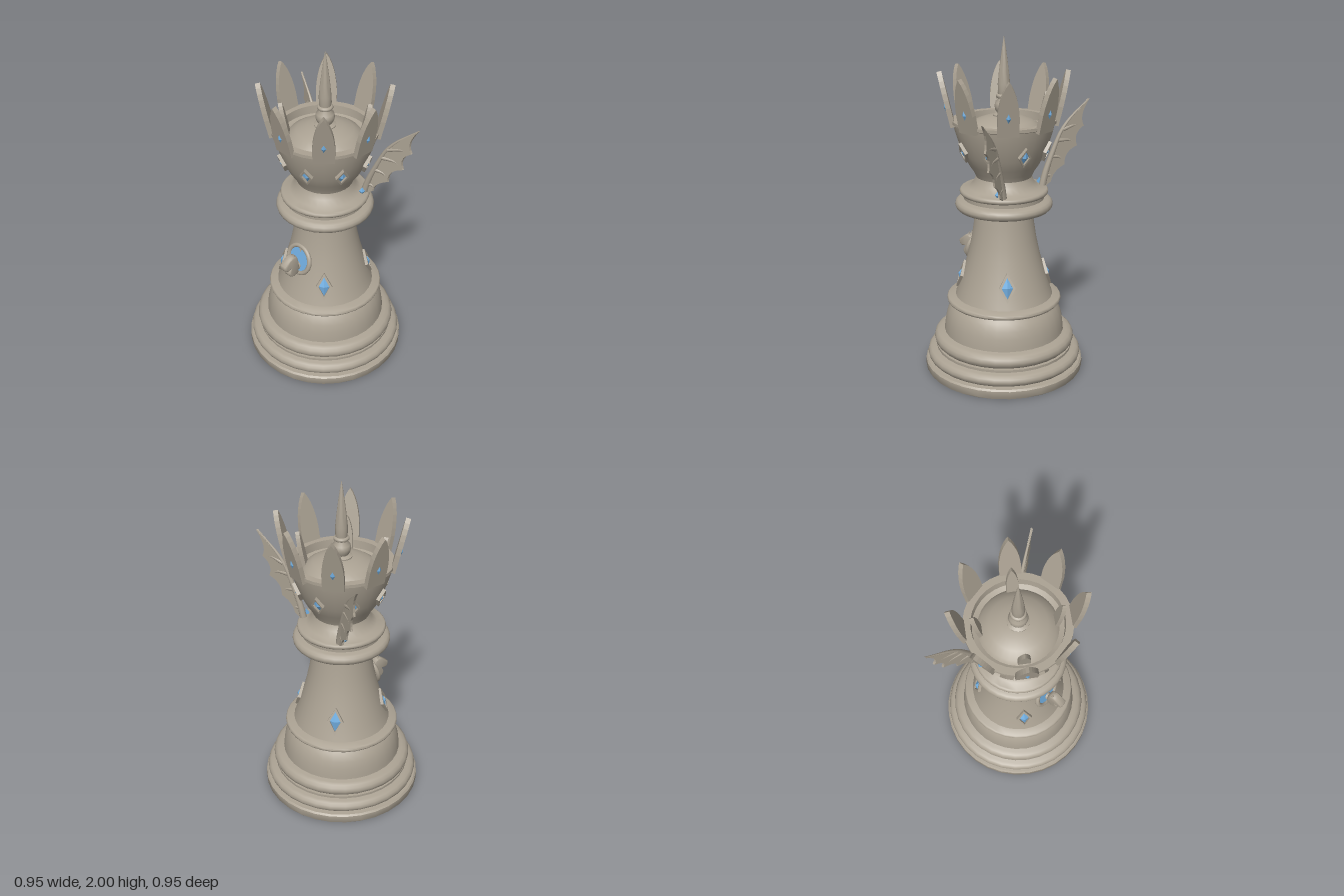
import * as THREE from 'three';
import { toCreasedNormals } from 'three/addons/utils/BufferGeometryUtils.js';

const stone = new THREE.MeshStandardMaterial({ color: 0xaba293 });
stone.name = 'warm stone';
const blue = new THREE.MeshStandardMaterial({ color: 0x72aee0 });
blue.name = 'gem blue';

const V = (x, y) => new THREE.Vector2(x, y);

function add(parent, name, geometry, material = stone) {
  const mesh = new THREE.Mesh(geometry, material);
  mesh.name = name;
  parent.add(mesh);
  return mesh;
}

// Half-round moulding for a lathe profile
function bead(r, y0, y1) {
  const b = (y1 - y0) / 2;
  return [-90, -60, -30, 0, 30, 60, 90].map((d) => {
    const a = THREE.MathUtils.degToRad(d);
    return V(r - b + b * Math.cos(a), (y0 + y1) / 2 + b * Math.sin(a));
  });
}

const lathe = (points, sides) =>
  toCreasedNormals(new THREE.LatheGeometry(points, sides), 0.7);

// Group standing on a circle around the axis, facing outward and leaning
function onRing(parent, name, angle, r, y, lean) {
  const g = new THREE.Group();
  g.name = name;
  g.rotation.order = 'YXZ';
  g.rotation.set(lean, angle, 0);
  g.position.set(Math.sin(angle) * r, y, Math.cos(angle) * r);
  parent.add(g);
  return g;
}

const diamond = (w, h) => [V(0, -h), V(w, 0), V(0, h), V(-w, 0)];

// Four-sided faceted jewel facing +z, optionally in a raised diamond frame
function addGem(parent, w, h, depth, framed, z = 0) {
  if (framed) {
    const shape = new THREE.Shape(diamond(w, h));
    shape.holes.push(new THREE.Path(diamond(w * 0.68, h * 0.72)));
    const frame = new THREE.ExtrudeGeometry(shape, { depth: 0.035, bevelEnabled: false });
    add(parent, 'gemFrame', frame).position.z = z - 0.022;
  }
  const k = framed ? 0.74 : 1;
  const gem = new THREE.ConeGeometry(1, 1, 4).toNonIndexed();
  gem.rotateX(Math.PI / 2);
  gem.scale(w * k, h * k, depth);
  gem.computeVertexNormals();
  add(parent, 'gem', gem, blue).position.z = z + depth / 2;
}

// Pointed crown leaf standing on y = 0
function leafGeometry(w, h, t) {
  const s = new THREE.Shape();
  s.moveTo(-w, 0);
  s.lineTo(w, 0);
  s.lineTo(w, h * 0.35);
  s.quadraticCurveTo(w * 0.85, h * 0.78, 0, h);
  s.quadraticCurveTo(-w * 0.85, h * 0.78, -w, h * 0.35);
  const g = new THREE.ExtrudeGeometry(s, { depth: t, bevelEnabled: false, curveSegments: 6 });
  return g.translate(0, 0, -t / 2);
}

// Tapered bone along a path
function boneGeometry(points, r0, r1) {
  const curve = new THREE.CatmullRomCurve3(points);
  const n = 16, m = 8;
  const g = new THREE.TubeGeometry(curve, n, 1, m, false);
  const p = g.attributes.position;
  for (let i = 0; i < p.count; i++) {
    const t = Math.floor(i / (m + 1)) / n;
    const c = curve.getPointAt(t);
    const v = new THREE.Vector3().fromBufferAttribute(p, i).sub(c);
    v.multiplyScalar(r0 + (r1 - r0) * t).add(c);
    p.setXYZ(i, v.x, v.y, v.z);
  }
  return g;
}

function addWing(root, side) {
  const wing = new THREE.Group();
  wing.name = side > 0 ? 'leftWing' : 'rightWing';
  root.add(wing);
  // The wing plane sweeps back as it goes outward
  const zAt = (x) => -0.08 - 0.37 * x;
  const P = (x, y, dz = 0) => new THREE.Vector3(side * x, y, zAt(x) + dz);
  const lead = [[0.17, 1.1], [0.195, 1.2], [0.245, 1.33], [0.29, 1.43], [0.34, 1.495], [0.4, 1.55], [0.465, 1.605]];
  // Membrane with scalloped trailing edge
  const cusps = [[0.432, 1.45], [0.39, 1.335], [0.31, 1.23], [0.225, 1.14]];
  const dips = [[0.395, 1.51], [0.36, 1.41], [0.305, 1.31], [0.235, 1.2]];
  const s = new THREE.Shape();
  s.moveTo(side * lead[0][0], lead[0][1]);
  lead.slice(1).forEach(([x, y]) => s.lineTo(side * x, y));
  cusps.forEach(([x, y], i) => s.quadraticCurveTo(side * dips[i][0], dips[i][1], side * x, y));
  const g = new THREE.ExtrudeGeometry(s, { depth: 0.014, bevelEnabled: false, curveSegments: 6 });
  g.translate(0, 0, -0.007);
  const p = g.attributes.position;
  for (let i = 0; i < p.count; i++) p.setZ(i, p.getZ(i) + zAt(Math.abs(p.getX(i))));
  g.computeVertexNormals();
  add(wing, 'wingMembrane', g);
  add(wing, 'wingArm', boneGeometry(lead.map(([x, y]) => P(x, y)), 0.022, 0.003));
  // Fingers from the arm to each cusp
  const starts = [[0.3, 1.44], [0.27, 1.38], [0.23, 1.29], [0.19, 1.18]];
  cusps.forEach(([x, y], i) => {
    const [a, b] = starts[i];
    const mid = P((a + x) / 2 + 0.015, (b + y) / 2 + 0.015);
    add(wing, 'wingFinger', boneGeometry([P(a, b), mid, P(x, y)], 0.014, 0.004));
  });
  // Jewel at the shoulder
  const jewel = onRing(wing, 'shoulderGem', side * 2.05, 0.215, 1.14, 0);
  jewel.position.set(side * 0.185, 1.14, -0.115);
  jewel.rotation.y = side * 0.8;
  addGem(jewel, 0.018, 0.025, 0.018, false);
}

function addMedallion(root) {
  const m = onRing(root, 'medallion', 0, 0.212, 0.715, -0.25);
  const back = new THREE.CylinderGeometry(0.088, 0.088, 0.05, 32).rotateX(Math.PI / 2);
  add(m, 'medallionBack', back).position.z = -0.025;
  add(m, 'medallionRing', new THREE.TorusGeometry(0.086, 0.014, 10, 32));
  add(m, 'medallionField', new THREE.CircleGeometry(0.076, 32), blue).position.z = 0.003;

  // Horse bust looking outward: side outline in (z, y)
  const bust = new THREE.Group();
  bust.name = 'horseBust';
  root.add(bust);
  const outline = new THREE.Shape();
  outline.moveTo(0.245, 0.645);
  outline.lineTo(0.275, 0.637);
  outline.quadraticCurveTo(0.31, 0.645, 0.302, 0.672);
  outline.lineTo(0.288, 0.7);
  outline.lineTo(0.31, 0.697);
  outline.quadraticCurveTo(0.34, 0.692, 0.335, 0.725);
  outline.lineTo(0.3, 0.752);
  outline.quadraticCurveTo(0.275, 0.775, 0.252, 0.757);
  outline.quadraticCurveTo(0.232, 0.7, 0.245, 0.645);
  const head = new THREE.ExtrudeGeometry(outline, {
    depth: 0.024, bevelThickness: 0.013, bevelSize: 0.007, bevelSegments: 3, curveSegments: 6,
  });
  head.translate(0, 0, -0.012).rotateY(-Math.PI / 2);
  add(bust, 'horseHead', toCreasedNormals(head, 0.9));
  const stub = new THREE.CylinderGeometry(0.022, 0.026, 0.06, 12).rotateX(Math.PI / 2);
  add(bust, 'neckMount', stub).position.set(0, 0.675, 0.235);
  for (const s of [-1, 1]) {
    add(bust, 'ear', new THREE.ConeGeometry(0.009, 0.032, 8)).position.set(s * 0.013, 0.778, 0.268);
  }
}

export function createModel() {
  const root = new THREE.Group();
  root.name = 'chessQueen';

  // Turned body: stepped base, waist, collar, cup and domed top
  add(root, 'body', lathe([
    V(0, 0), V(0.472, 0), V(0.477, 0.008), V(0.477, 0.048), V(0.468, 0.058), V(0.44, 0.06),
    ...bead(0.463, 0.062, 0.13), V(0.41, 0.135), V(0.41, 0.15),
    ...bead(0.422, 0.152, 0.235), V(0.36, 0.24), V(0.358, 0.262), V(0.352, 0.31),
    V(0.34, 0.355), V(0.322, 0.395), V(0.3, 0.424),
    ...bead(0.342, 0.425, 0.457), V(0.29, 0.465), V(0.267, 0.53), V(0.24, 0.62),
    V(0.212, 0.72), V(0.191, 0.82), V(0.176, 0.92), V(0.169, 0.985), V(0.235, 0.99),
    ...bead(0.285, 0.998, 1.06), V(0.235, 1.065), V(0.235, 1.088),
    ...bead(0.258, 1.09, 1.124), V(0.205, 1.13), V(0.175, 1.16), V(0.162, 1.195),
    V(0.175, 1.225), V(0.205, 1.27), V(0.235, 1.33), V(0.26, 1.4), V(0.28, 1.465),
    V(0.288, 1.505), V(0.298, 1.51), V(0.298, 1.528), V(0.255, 1.528), V(0.25, 1.48),
    V(0.222, 1.47), V(0.205, 1.493), V(0.16, 1.522), V(0.1, 1.543), V(0.05, 1.55), V(0, 1.552),
  ], 32));

  // Finial: collar, ball, ring and spike
  add(root, 'finial', lathe([
    V(0.06, 1.53), V(0.062, 1.555), V(0.04, 1.565), V(0.05, 1.583), V(0.054, 1.603),
    V(0.05, 1.623), V(0.034, 1.643), ...bead(0.045, 1.648, 1.672), V(0.034, 1.68),
    V(0.035, 1.73), V(0.028, 1.8), V(0.018, 1.88), V(0.008, 1.95), V(0, 2),
  ], 20));

  for (let i = 0; i < 8; i++) {
    const a = i * Math.PI / 4;
    // Tall crown leaves with a small jewel
    const leaf = onRing(root, 'crownLeaf', a, 0.291, 1.495, 0.23);
    add(leaf, 'leafBlade', leafGeometry(0.06, 0.315, 0.028));
    const jewel = new THREE.Group();
    jewel.name = 'leafGem';
    jewel.position.set(0, 0.11, 0.014);
    leaf.add(jewel);
    addGem(jewel, 0.014, 0.027, 0.01, false);
    // Framed jewels around the cup
    const cupGem = onRing(root, 'cupGem', a + Math.PI / 8, 0.25, 1.36, 0.36);
    addGem(cupGem, 0.038, 0.062, 0.016, true);
  }

  for (let i = 0; i < 4; i++) {
    const a = Math.PI / 4 + i * Math.PI / 2;
    // Short inner leaves
    const inner = onRing(root, 'innerLeaf', a, 0.205, 1.48, 0.2);
    add(inner, 'innerLeafBlade', leafGeometry(0.034, 0.205, 0.024));
    // Large framed jewels around the waist
    const waistGem = onRing(root, 'waistGem', a, 0.25, 0.59, -0.29);
    addGem(waistGem, 0.048, 0.087, 0.022, true);
  }

  addWing(root, 1);
  addWing(root, -1);
  addMedallion(root);
  return root;
}
